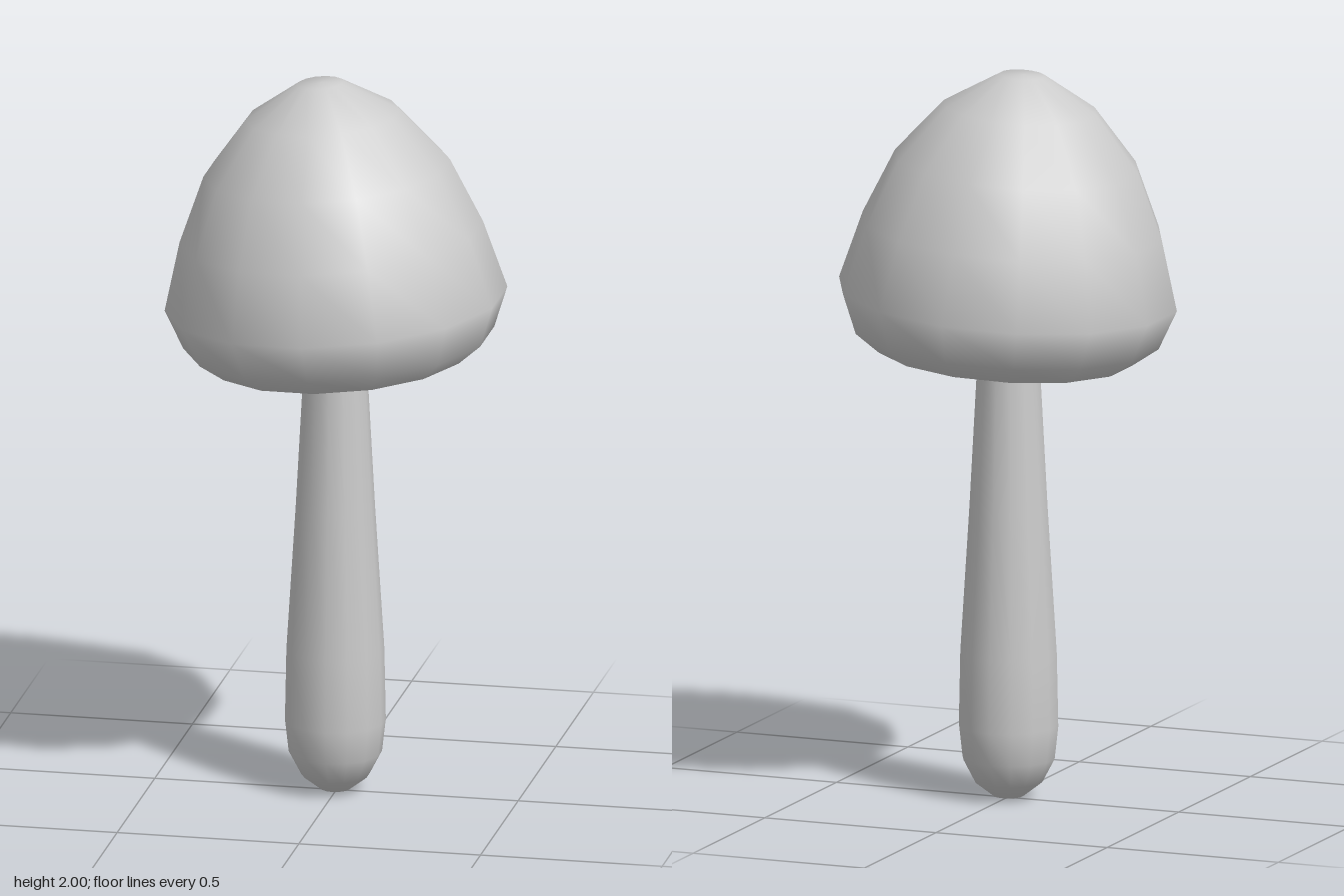
import * as THREE from 'three';

const SIDES = 14;
const material = new THREE.MeshStandardMaterial({ color: 0xcccccc });

// Turned surface from [radius, height] pairs
function turned(name, points) {
  const profile = points.map(([r, y]) => new THREE.Vector2(r, y));
  const mesh = new THREE.Mesh(new THREE.LatheGeometry(profile, SIDES), material);
  mesh.name = name;
  return mesh;
}

export function createModel() {
  const model = new THREE.Group();
  model.name = 'mushroom';

  // Cap, leaning slightly to one side; separate surfaces keep the rim edges sharp
  const cap = new THREE.Group();
  cap.name = 'cap';
  cap.add(
    turned('capDome', [
      [0.352, 0], [0.42, 0.052], [0.463, 0.162], [0.41, 0.35],
      [0.333, 0.53], [0.208, 0.68], [0.062, 0.77], [0, 0.772],
    ]),
    turned('capRim', [[0.265, 0], [0.352, 0]]),
    turned('recessWall', [[0.265, 0.06], [0.265, 0]]),
    turned('recessCeiling', [[0, 0.06], [0.265, 0.06]]),
  );
  cap.position.set(0.01, 1.225, 0);
  cap.rotation.z = THREE.MathUtils.degToRad(4);
  model.add(cap);

  // Tapered stem with a rounded foot
  const stem = new THREE.Group();
  stem.name = 'stem';
  stem.add(
    turned('stemBody', [
      [0.04, 0.005], [0.092, 0.045], [0.126, 0.11], [0.136, 0.2],
      [0.132, 0.4], [0.107, 0.8], [0.08, 1.3],
    ]),
    turned('stemFoot', [[0, 0], [0.04, 0.005]]),
  );
  stem.position.x = -0.003;
  model.add(stem);

  return model;
}
